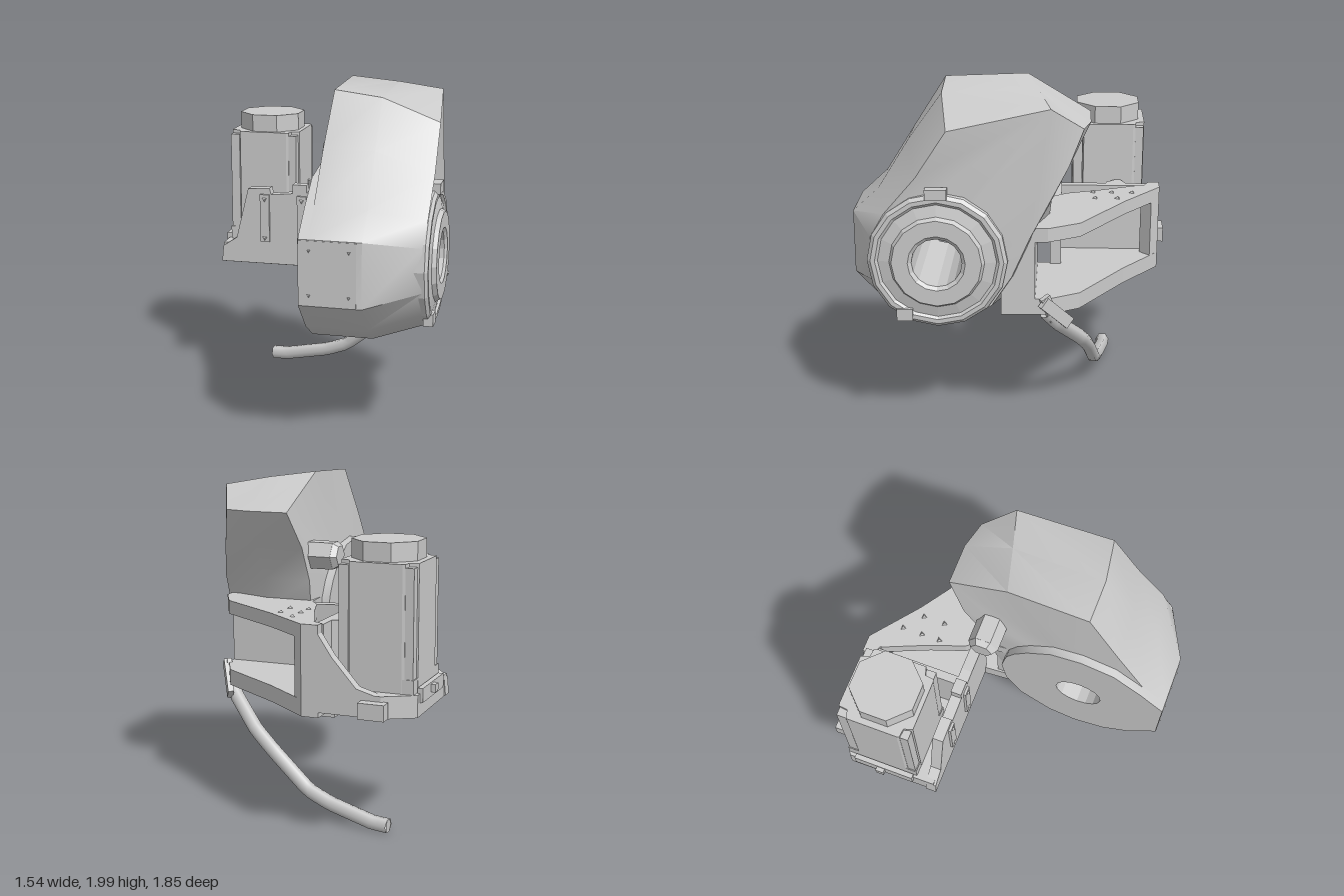
import * as THREE from 'three';
import { toCreasedNormals } from 'three/addons/utils/BufferGeometryUtils.js';

const flat = new THREE.MeshStandardMaterial({ color: 0xcccccc, flatShading: true, side: THREE.DoubleSide });
const smooth = new THREE.MeshStandardMaterial({ color: 0xcccccc, side: THREE.DoubleSide });
const HUB = { y: 1.07, z: 0.41, r: 0.14 };

export function createModel() {
  const model = new THREE.Group();
  const add = (name, geo, mat = flat) => {
    const m = new THREE.Mesh(geo, mat);
    m.name = name;
    model.add(m);
    return m;
  };
  // Box given by its limits
  const box = (name, x0, x1, y0, y1, z0, z1) =>
    add(name, new THREE.BoxGeometry(x1 - x0, y1 - y0, z1 - z0).translate((x0 + x1) / 2, (y0 + y1) / 2, (z0 + z1) / 2));
  const shapeOf = pts => new THREE.Shape(pts.map(p => new THREE.Vector2(p[0], p[1])));
  // Plan outline [x, z] raised from y0 to y1
  const plan = (name, pts, y0, y1) =>
    add(name, new THREE.ExtrudeGeometry(shapeOf(pts.map(([x, z]) => [x, -z])), { depth: y1 - y0, bevelEnabled: false })
      .rotateX(-Math.PI / 2).translate(0, y0, 0));
  // Front outline [x, y] spanning z0 to z1
  const wall = (name, pts, z0, z1) =>
    add(name, new THREE.ExtrudeGeometry(shapeOf(pts), { depth: z1 - z0, bevelEnabled: false }).translate(0, 0, z0));
  const frontBolt = (x, y, z) =>
    add('bolt', new THREE.ConeGeometry(0.02, 0.015, 3).rotateX(Math.PI / 2).translate(x, y, z));

  add('housing', housingGeometry(), smooth);

  // Front mounting plate with four bolts
  box('frontPlate', 0.065, 0.38, 0.885, 1.245, 0.9, 0.923);
  for (const x of [0.12, 0.34]) for (const y of [0.94, 1.19]) frontBolt(x, y, 0.924);

  // Stepped hub ring with the bore running through the housing
  const profile = [[0.39, 0.66], [0.39, 0.725], [0.37, 0.742], [0.345, 0.742], [0.33, 0.73], [0.265, 0.745],
    [0.25, 0.77], [0.16, 0.77], [HUB.r, 0.755], [HUB.r, 0.06]].map(p => new THREE.Vector2(p[0], p[1]));
  add('hubRing', new THREE.LatheGeometry(profile, 16).rotateZ(-Math.PI / 2).translate(0, HUB.y, HUB.z));
  box('hubTopTab', 0.7, 0.755, 1.43, 1.49, 0.35, 0.47);
  box('hubLowerTab', 0.7, 0.755, 0.72, 0.79, 0.55, 0.64);

  // Side knob
  add('knob', new THREE.CylinderGeometry(0.09, 0.09, 0.17, 6).rotateZ(Math.PI / 2).translate(0.065, 1.52, -0.16));
  add('knobCap', new THREE.CylinderGeometry(0.09, 0.065, 0.035, 6).rotateZ(-Math.PI / 2).translate(-0.035, 1.52, -0.16));

  // Arm: upper and lower plates leave a window along the diagonal side
  const side = [[-0.1, -0.86], [0.18, -0.64], [0.57, -0.38], [0.67, -0.2], [0.68, 0.06], [0.12, 0.06]];
  plan('armTopPlate', [[-0.14, -0.86], ...side, [0.1, -0.22], [0.04, -0.3], [-0.03, -0.5], [-0.14, -0.76]], 1.17, 1.25);
  plan('armBottomPlate', [[-0.2, -0.86], ...side, [0.1, -0.22], [-0.2, -0.22]], 0.735, 0.83);
  plan('armRootPost', [[0.12, 0.06], [0.68, 0.06], [0.67, -0.13], [0.12, -0.13]], 0.735, 1.25);
  plan('armEndPost', [[-0.2, -0.86], [-0.1, -0.86], [-0.04, -0.81], [-0.1, -0.75], [-0.2, -0.8]], 0.77, 1.25);
  for (const [x, z] of [[0.02, -0.69], [0.02, -0.57], [0.02, -0.46], [0.13, -0.6], [0.13, -0.47]])
    add('plateBolt', new THREE.ConeGeometry(0.02, 0.015, 3).translate(x, 1.257, z));

  // Front and rear walls of the motor carrier
  wall('carrierFrontWall', [[-0.74, 0.77], [-0.73, 0.87], [-0.64, 0.93], [-0.56, 1.25], [-0.42, 1.26], [-0.41, 1.22],
    [-0.1, 1.25], [0.12, 1.24], [0.12, 0.77]], -0.27, -0.205);
  wall('carrierRearWall', [[-0.56, 0.77], [-0.56, 0.88], [-0.42, 0.92], [-0.28, 1.08], [-0.2, 1.2], [-0.1, 1.25],
    [-0.1, 0.77]], -0.86, -0.8);
  for (const x of [-0.45, -0.21]) {
    box('frontStrip', x - 0.03, x + 0.03, 0.915, 1.22, -0.21, -0.19);
    for (const y of [0.94, 1.19]) frontBolt(x, y, -0.185);
  }
  box('innerRib', -0.2, -0.15, 0.8, 1.24, -0.78, -0.25);
  box('ribCap', -0.27, -0.18, 1.22, 1.29, -0.27, -0.205);
  plan('ribBrace', [[-0.29, -0.62], [-0.2, -0.66], [-0.2, -0.54], [-0.22, -0.54]], 0.9, 1.24);

  // Tray under the motor
  plan('tray', [[-0.73, -0.22], [-0.735, -0.76], [-0.56, -0.86], [-0.2, -0.86], [-0.2, -0.22]], 0.765, 0.89);
  box('trayRearBlock', -0.6, -0.45, 0.77, 0.86, -0.92, -0.85);
  box('traySideBar', -0.75, -0.72, 0.84, 0.92, -0.72, -0.35);
  box('traySideLug', -0.775, -0.74, 0.865, 0.91, -0.575, -0.525);
  add('trayBoss', new THREE.CylinderGeometry(0.05, 0.05, 0.02, 6).translate(-0.49, 0.76, -0.55));

  // Motor: square body with notched corners and an octagonal cap
  const quarter = [[0.22, 0.15], [0.17, 0.165], [0.165, 0.215], [0.15, 0.22]];
  const section = [];
  for (let k = 0; k < 4; k++) {
    const c = Math.round(Math.cos(k * Math.PI / 2)), s = Math.round(Math.sin(k * Math.PI / 2));
    for (const [a, b] of quarter) section.push([-0.495 + a * c - b * s, -0.55 + a * s + b * c]);
  }
  plan('motorBody', section, 0.8, 1.59);
  for (const sx of [-1, 1]) for (const sz of [-1, 1]) {
    const x = -0.495 + sx * 0.185, z = -0.55 + sz * 0.185;
    box('motorFoot', x - 0.034, x + 0.034, 0.86, 0.97, z - 0.034, z + 0.034);
    box('motorCornerRod', x - 0.028, x + 0.028, 0.9, 1.57, z - 0.028, z + 0.028);
  }
  add('motorCap', new THREE.CylinderGeometry(0.205, 0.205, 0.11, 8).rotateY(Math.PI / 8).translate(-0.49, 1.64, -0.545));

  // Fittings below the arm
  box('lowerRail', -0.23, 0.06, 0.73, 0.78, -0.5, -0.28);
  box('lowerLug', -0.14, -0.02, 0.63, 0.74, -0.475, -0.36);

  // Hanging cable and its clip
  const path = new THREE.CurvePath();
  const pts = [[0.66, 0.75, -0.19], [0.6, 0.655, -0.26], [0.4, 0.48, -0.39], [0.27, 0.38, -0.435], [0.02, 0.175, -0.48],
    [-0.12, 0.12, -0.5], [-0.4, 0.055, -0.54], [-0.5, 0.05, -0.55]].map(p => new THREE.Vector3(...p));
  for (let i = 0; i < pts.length - 1; i++) path.add(new THREE.LineCurve3(pts[i], pts[i + 1]));
  add('cable', new THREE.TubeGeometry(path, 28, 0.043, 6), smooth);
  const end = add('cableEnd', new THREE.CircleGeometry(0.043, 6));
  end.position.copy(pts[7]);
  end.rotation.y = -Math.PI / 2;
  const clip = add('cableClip', new THREE.BoxGeometry(0.035, 0.07, 0.24));
  clip.position.set(0.65, 0.74, -0.25);
  clip.rotation.set(-0.75, 0.6, 0, 'YXZ');
  const strap = add('clipStrap', new THREE.BoxGeometry(0.03, 0.16, 0.06));
  strap.position.set(0.66, 0.77, -0.21);
  strap.rotation.set(0.4, 0.6, 0, 'YXZ');

  return model;
}

// Housing lofted across x through matching side outlines, with a bored cap at each end
function housingGeometry() {
  const outline = [[0.4, 1.98], [-0.07, 2], [-0.43, 1.79], [-0.33, 1.58], [-0.22, 1.37], [-0.2, 1.2], [-0.08, 0.95],
    [0.05, 0.74], [0.24, 0.61], [0.41, 0.575], [0.6, 0.61], [0.76, 0.71], [0.92, 0.88], [0.92, 1.25], [0.77, 1.39], [0.59, 1.68]];
  // Inner disc replaces the raised head on the -x side
  const disc = { 0: [0.4, 1.56], 1: [0.22, 1.53], 2: [0.08, 1.43], 3: [0, 1.34], 4: [-0.05, 1.25], 5: [-0.08, 1.1],
    6: [-0.05, 0.92], 14: [0.77, 1.39], 15: [0.6, 1.52] };
  const discRow = x => outline.map((p, i) => [x, ...(disc[i] || p)]);
  const inner = outline.map(([z, y], i) => [i < 2 ? 0.14 : i === 2 ? 0.17 : 0.12, z, y]);
  const middle = outline.map(([z, y], i) => [0.41, i === 1 ? -0.14 : z, i < 2 ? y - 0.035 : y]);
  const outer = [[0.73, 0.35, 1.81], [0.66, -0.21, 1.92], [0.57, -0.39, 1.79], [0.62, -0.31, 1.59], [0.68, -0.2, 1.38],
    [0.7, -0.1, 1.2], [0.7, 0, 0.97], [0.7, 0.11, 0.8], [0.7, 0.26, 0.7], [0.7, 0.41, 0.68], [0.7, 0.55, 0.7],
    [0.7, 0.69, 0.8], [0.71, 0.78, 0.95], [0.71, 0.78, 1.2], [0.725, 0.7, 1.34], [0.73, 0.52, 1.55]];
  const rows = [discRow(0.06), discRow(0.11), inner, middle, outer];

  const out = [];
  const tri = (...ps) => ps.forEach(([x, z, y]) => out.push(x, y, z));
  for (let r = 0; r < rows.length - 1; r++) {
    const a = rows[r], b = rows[r + 1];
    a.forEach((_, i) => {
      const j = (i + 1) % a.length;
      tri(a[i], b[i], b[j]);
      tri(a[i], b[j], a[j]);
    });
  }
  const cap = (row, dir) => {
    const hole = Array.from({ length: 16 }, (_, i) => {
      const t = i / 16 * Math.PI * 2;
      return [row[9][0], HUB.z + HUB.r * Math.sin(t), HUB.y + HUB.r * Math.cos(t)];
    });
    const all = [...row, ...hole], v = p => new THREE.Vector2(p[1], p[2]);
    for (const f of THREE.ShapeUtils.triangulateShape(row.map(v), [hole.map(v)])) {
      const t = f.map(i => all[i]);
      const facesMinusX = THREE.ShapeUtils.area(t.map(v)) > 0;
      if (facesMinusX === dir > 0) t.reverse();
      tri(...t);
    }
  };
  cap(rows[0], -1);
  cap(outer, 1);
  const geo = new THREE.BufferGeometry();
  geo.setAttribute('position', new THREE.Float32BufferAttribute(out, 3));
  return toCreasedNormals(geo, 0.6);
}
